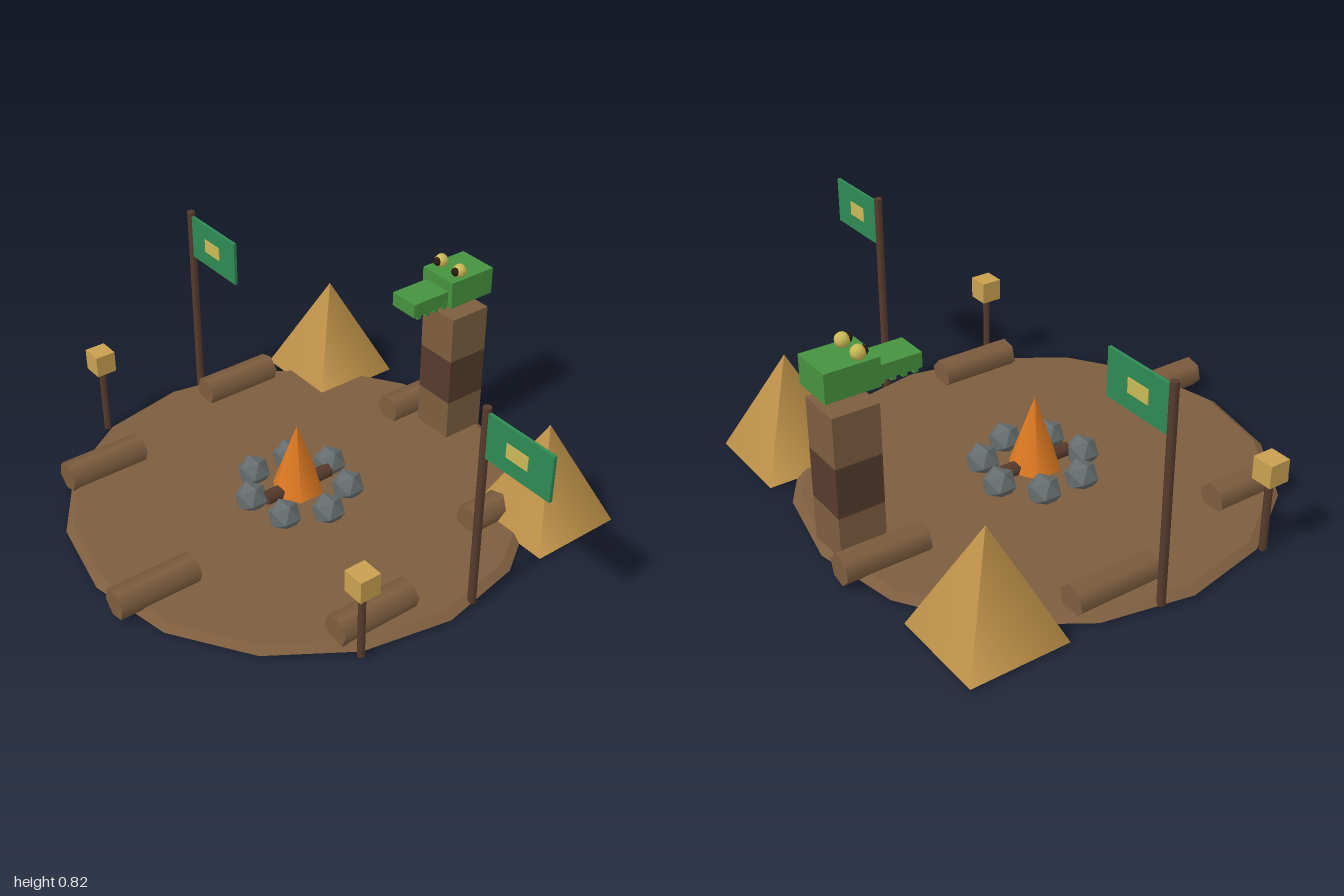
import * as THREE from 'three';

const mat = (name, color) => {
  const m = new THREE.MeshStandardMaterial({ color });
  m.name = name;
  return m;
};

export function createModel() {
  const brown = mat('earth brown', 0x7d5d3f);
  const dark = mat('dark wood', 0x573b2c);
  const canvas = mat('tent canvas', 0xc0934a);
  const lampTan = mat('lantern tan', 0xc9a050);
  const stone = mat('stone grey', 0x666c6d);
  const fire = mat('fire orange', 0xdf7a22);
  const green = mat('head green', 0x46923f);
  const flagGreen = mat('flag green', 0x2f8a54);
  const gold = mat('gold', 0xcbb956);
  const black = mat('pupil', 0x2a1a10);

  const root = new THREE.Group();
  root.name = 'campsite';
  const cx = -0.135; // centre of the clearing
  const base = 0.012;

  const add = (name, geo, material, x, y, z, parent = root) => {
    const m = new THREE.Mesh(geo, material);
    m.name = name;
    m.position.set(x, y, z);
    parent.add(m);
    return m;
  };
  const group = (name) => {
    const g = new THREE.Group();
    g.name = name;
    root.add(g);
    return g;
  };
  const box = (w, h, d) => new THREE.BoxGeometry(w, h, d);

  // Clearing
  add('ground', new THREE.CylinderGeometry(0.835, 0.865, 0.02, 16), brown, cx, base + 0.01, 0);

  // Campfire with a ring of stones
  const campfire = group('campfire');
  add('flame', new THREE.ConeGeometry(0.1, 0.28, 6), fire, cx, 0.185, 0, campfire);
  const fireLog = add('fireLog', new THREE.CylinderGeometry(0.028, 0.028, 0.29, 6), dark, cx, 0.06, 0, campfire);
  fireLog.rotation.x = Math.PI / 2;
  const rock = new THREE.IcosahedronGeometry(0.065, 0);
  for (let i = 0; i < 7; i++) {
    const a = (i / 7) * Math.PI * 2;
    add('stone', rock, stone, cx + Math.cos(a) * 0.187, 0.056, Math.sin(a) * 0.187, campfire);
  }

  // Log seats around the edge
  const log = new THREE.CylinderGeometry(0.058, 0.058, 0.316, 6);
  for (let i = 0; i < 6; i++) {
    const a = 0.3 + (i * Math.PI) / 3;
    const seat = add('logSeat', log, brown, cx + Math.cos(a) * 0.748, 0.067, Math.sin(a) * 0.748);
    seat.rotation.set(Math.PI / 2, -a, 0);
  }

  // Matching tents, flags and lanterns on both sides
  const tent = new THREE.ConeGeometry(0.258, 0.4, 4);
  const pole = new THREE.CylinderGeometry(0.015, 0.015, 0.804, 8);
  const post = new THREE.CylinderGeometry(0.014, 0.014, 0.29, 6);
  for (const s of [-1, 1]) {
    add('tent', tent, canvas, cx + s * 0.636, base + 0.2, -0.641).rotation.y = Math.PI / 4;

    const flag = group('flag');
    const px = cx + s * 0.836;
    add('flagPole', pole, dark, px, base + 0.402, -0.117, flag);
    add('flagCloth', box(0.285, 0.172, 0.012), flagGreen, px + 0.155, 0.714, -0.117, flag);
    add('flagEmblem', box(0.095, 0.053, 0.018), gold, px + 0.15, 0.714, -0.117, flag);

    const lantern = group('lantern');
    const lx = cx + s * 0.81;
    add('lanternPost', post, dark, lx, base + 0.145, 0.345, lantern);
    add('lanternBox', box(0.082, 0.084, 0.08), lampTan, lx, 0.329, 0.345, lantern);
  }

  // Totem of three stacked blocks
  const totem = group('totem');
  [brown, dark, brown].forEach((m, i) => {
    const y0 = i === 0 ? base + 0.002 : 0.006 + i * 0.187;
    const y1 = 0.006 + (i + 1) * 0.187;
    add('totemBlock', box(0.171, y1 - y0, 0.172), m, cx, (y0 + y1) / 2, -0.75, totem);
  });

  // Carved reptile head floating above the totem
  const head = group('head');
  add('skull', box(0.164, 0.106, 0.2), green, cx, 0.674, -0.752, head);
  add('snout', box(0.122, 0.055, 0.165), green, cx, 0.656, -0.572, head);
  for (const s of [-1, 1]) {
    add('eye', new THREE.SphereGeometry(0.027, 8, 6), gold, cx + s * 0.05, 0.747, -0.712, head);
    add('pupil', new THREE.SphereGeometry(0.017, 8, 6), black, cx + s * 0.05, 0.749, -0.693, head);
    for (let i = 0; i < 4; i++) {
      add('tooth', box(0.016, 0.02, 0.018), green, cx + s * 0.054, 0.627, -0.514 - i * 0.041, head);
    }
  }
  return root;
}
